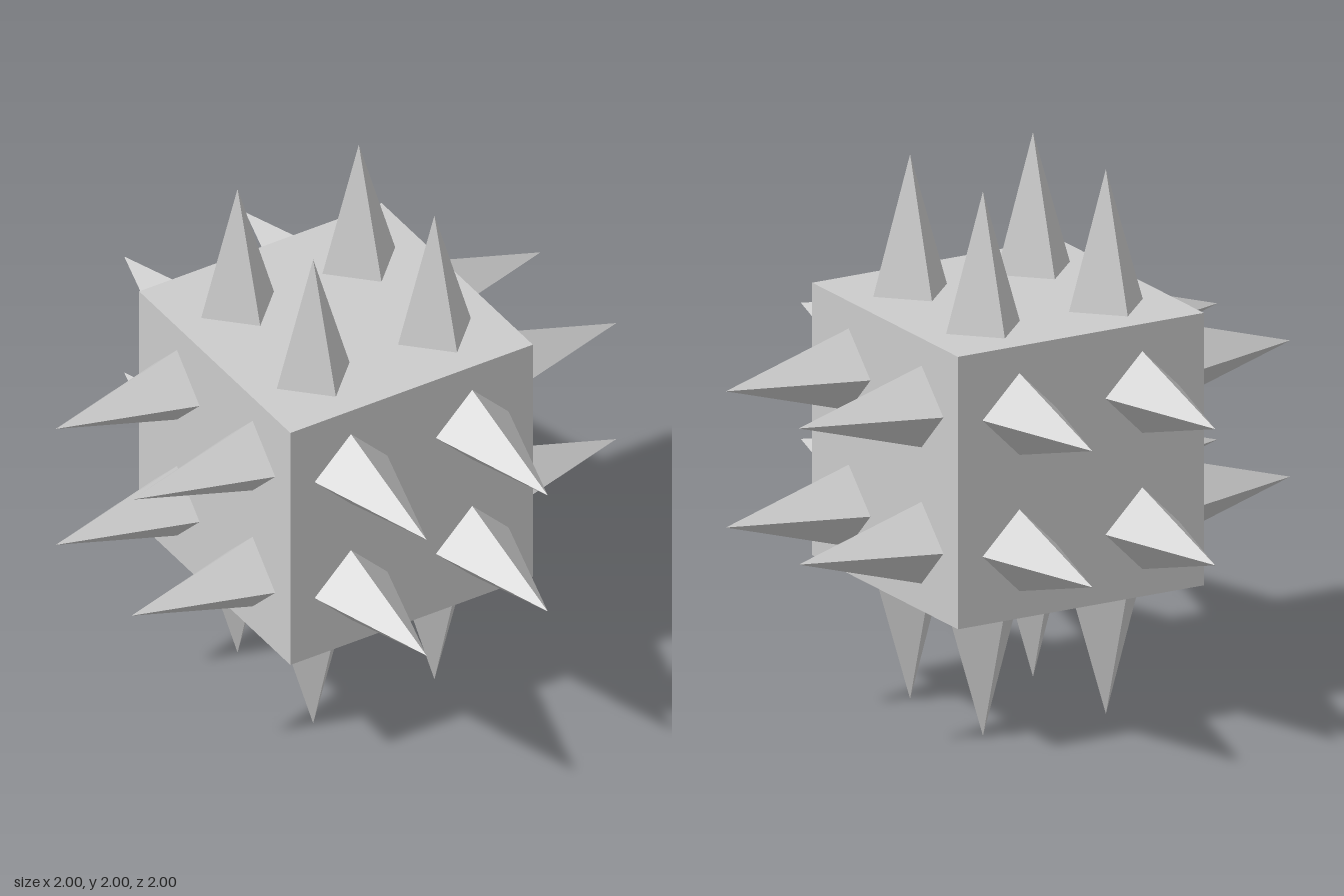
import * as THREE from 'three';

export function createModel() {
  const group = new THREE.Group();
  const material = new THREE.MeshStandardMaterial({ color: 0xcccccc, flatShading: true });

  // Cube core, raised so the lower spikes touch the ground
  const body = new THREE.Mesh(new THREE.BoxGeometry(1, 1, 1), material);
  body.name = 'body';
  body.position.y = 1;
  group.add(body);

  // Four-sided spike with its base at the origin, pointing up
  const spikeGeometry = new THREE.ConeGeometry(0.15, 0.5, 4).translate(0, 0.25, 0);

  // One cluster of 2 x 2 spikes per cube face, modelled on the top and turned outward
  const faces = {
    top: [0, 0, 0],
    bottom: [Math.PI, 0, 0],
    front: [Math.PI / 2, 0, 0],
    back: [-Math.PI / 2, 0, 0],
    left: [0, 0, -Math.PI / 2],
    right: [0, 0, Math.PI / 2],
  };
  for (const [face, rotation] of Object.entries(faces)) {
    const cluster = new THREE.Group();
    cluster.name = `${face}Spikes`;
    cluster.position.y = 1;
    cluster.rotation.set(...rotation);
    for (const x of [-0.25, 0.25]) {
      for (const z of [-0.25, 0.25]) {
        const spike = new THREE.Mesh(spikeGeometry, material);
        spike.name = 'spike';
        spike.position.set(x, 0.5, z);
        cluster.add(spike);
      }
    }
    group.add(cluster);
  }
  return group;
}
